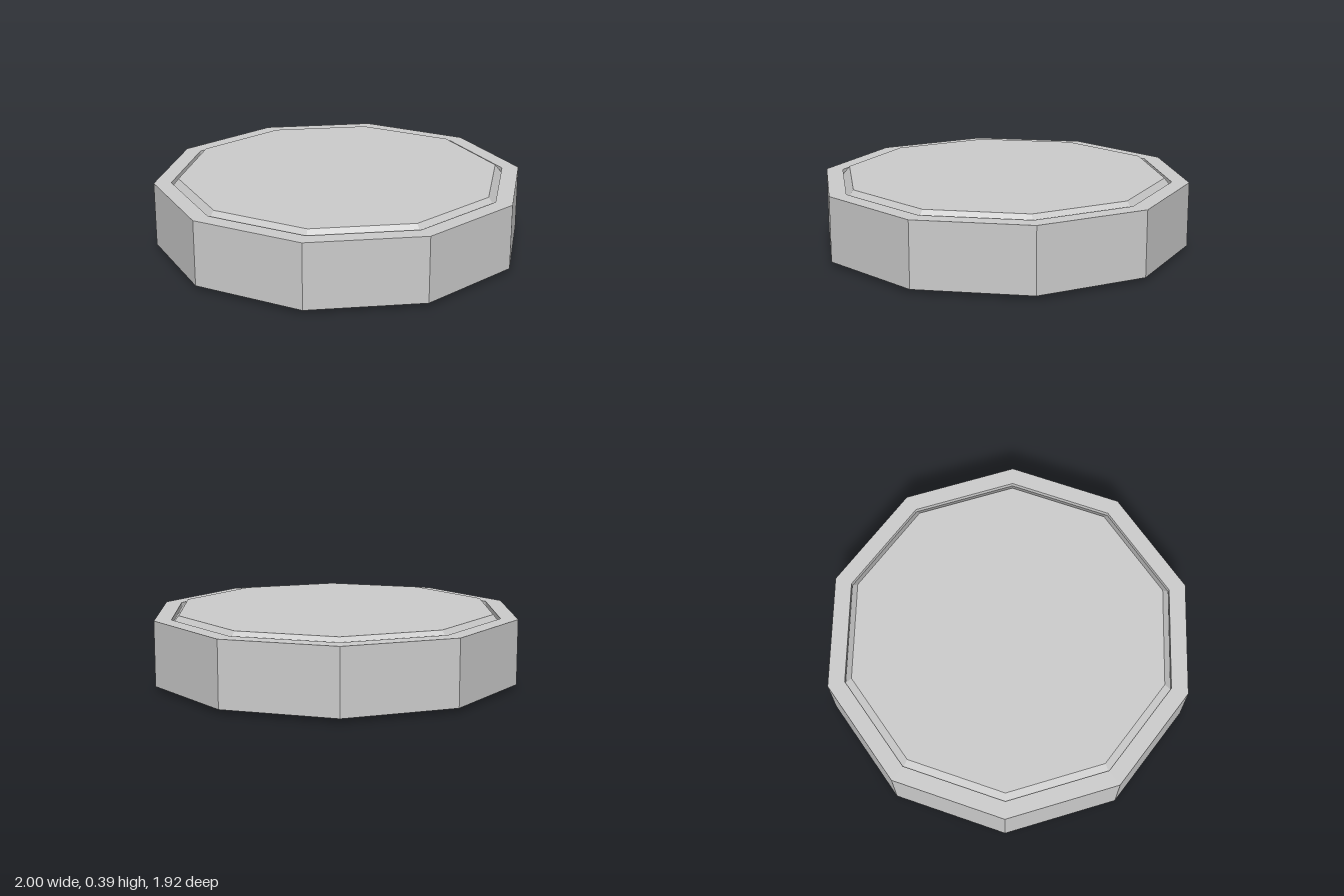
import * as THREE from 'three';

const SIDES = 10;

// Revolves a [radius, height] profile into a ten-sided solid
function facetedSolid(name, profile, material) {
  const points = profile.map(([r, y]) => new THREE.Vector2(r, y));
  const geometry = new THREE.LatheGeometry(points, SIDES, Math.PI / 2);
  const mesh = new THREE.Mesh(geometry.toNonIndexed(), material);
  mesh.geometry.computeVertexNormals();
  mesh.name = name;
  return mesh;
}

export function createModel() {
  const model = new THREE.Group();
  model.name = 'decagonalDisc';
  const material = new THREE.MeshStandardMaterial({ color: 0xcccccc, flatShading: true });

  // Thick outer ring
  model.add(facetedSolid('outerRing', [
    [0.907, 0.02], [1, 0.02], [1, 0.37], [0.907, 0.37], [0.907, 0.02],
  ], material));

  // Inner plate: chamfered raised top, thin rim round a shallow recess below
  model.add(facetedSolid('innerPlate', [
    [0, 0.02], [0.897, 0.02], [0.897, 0], [0.905, 0],
    [0.905, 0.345], [0.868, 0.39], [0, 0.39],
  ], material));

  // Slight twist of the whole decagon
  model.rotation.y = THREE.MathUtils.degToRad(1.5);
  return model;
}
